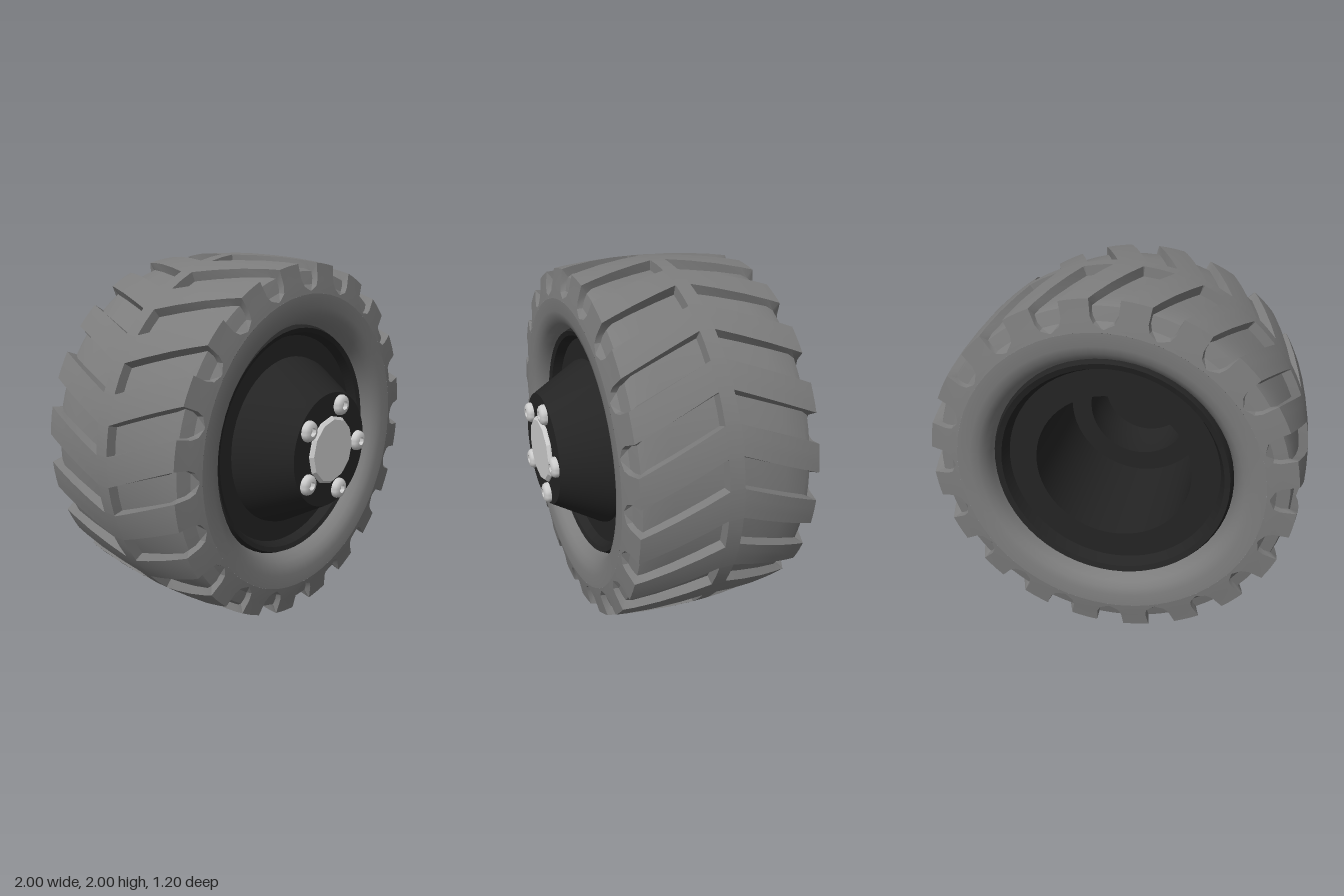
import * as THREE from 'three';
import { toCreasedNormals } from 'three/addons/utils/BufferGeometryUtils.js';

const MID = -0.09; // z of the tyre's middle plane
const rubber = new THREE.MeshStandardMaterial({ color: 0x7c7c7c });
const black = new THREE.MeshStandardMaterial({ color: 0x242424 });
const metal = new THREE.MeshStandardMaterial({ color: 0xcccccc });

// Revolve [radius, z] points about the z axis
function revolve(points, segments, crease = 0.5) {
  const geo = new THREE.LatheGeometry(points.map(([r, z]) => new THREE.Vector2(r, z)), segments);
  geo.rotateX(Math.PI / 2);
  return toCreasedNormals(geo, crease);
}

function part(name, geo, material, parent) {
  const mesh = new THREE.Mesh(geo, material);
  mesh.name = name;
  parent.add(mesh);
  return mesh;
}

// Tread with a chevron of slanted grooves on each side of a centre rib
function treadGeometry() {
  const teeth = 20, pitch = 360 / teeth;
  // distance from middle, radius, groove floor distance, floor radius, groove half width (degrees)
  const half = [
    [0.04, 1.0, 0.04, 1.0, 4.6],
    [0.044, 1.0, 0.044, 0.95, 4.6],
    [0.16, 0.996, 0.16, 0.948, 4.6],
    [0.3, 0.987, 0.3, 0.943, 4.6],
    [0.42, 0.974, 0.42, 0.934, 4.6],
    [0.48, 0.965, 0.452, 0.922, 4.6],
    [0.495, 0.885, 0.465, 0.885, 4.4],
    [0.503, 0.85, 0.475, 0.855, 3.4],
    [0.507, 0.826, 0.507, 0.826, 0.5],
    [0.51, 0.81, 0.51, 0.81, 0.5],
  ];
  const rows = [
    ...half.map((r) => [-1, ...r]).reverse(),
    ...half.map((r) => [1, ...r]),
  ];
  const pos = [], idx = [];
  let columns = 0;
  for (const [side, w, r, wf, rf, h] of rows) {
    const slant = 10 * Math.max(0, 1 - (w - 0.04) / 0.44);
    columns = 0;
    for (let t = 0; t < teeth; t++) {
      const gap = pitch - 2 * h;
      const e = Math.min(0.35, h / 2);
      const cols = [
        [-h, 0], [-h + e, 1], [0, 1], [h - e, 1], [h, 0],
        [h + gap / 3, 0], [h + (2 * gap) / 3, 0],
      ];
      for (const [deg, floor] of cols) {
        const a = THREE.MathUtils.degToRad(t * pitch + slant + deg);
        const rad = floor ? rf : r;
        pos.push(Math.cos(a) * rad, Math.sin(a) * rad, MID + side * (floor ? wf : w));
        columns++;
      }
    }
  }
  for (let j = 0; j < rows.length - 1; j++) {
    for (let i = 0; i < columns; i++) {
      const n = (i + 1) % columns;
      const a = j * columns + i, b = j * columns + n;
      const c = b + columns, d = a + columns;
      idx.push(a, b, c, a, c, d);
    }
  }
  const geo = new THREE.BufferGeometry();
  geo.setAttribute('position', new THREE.Float32BufferAttribute(pos, 3));
  geo.setIndex(idx);
  return toCreasedNormals(geo, 0.45);
}

export function createModel() {
  const model = new THREE.Group();
  model.name = 'wheel';
  const wheel = new THREE.Group();
  wheel.name = 'wheelAssembly';
  wheel.position.y = 1;
  model.add(wheel);

  // Tyre: tread, then a rounded sidewall on each face
  const tyre = new THREE.Group();
  tyre.name = 'tyre';
  wheel.add(tyre);
  part('tread', treadGeometry(), rubber, tyre);
  const wall = [[0.81, 0.51], [0.74, 0.508], [0.7, 0.497], [0.67, 0.472], [0.65, 0.435], [0.635, 0.38]];
  part('frontSidewall', revolve(wall.map(([r, w]) => [r, MID + w]), 60), rubber, tyre);
  part('backSidewall', revolve(wall.map(([r, w]) => [r, MID - w]).reverse(), 60), rubber, tyre);

  // Rim: hollow drum open at the back, closed by a tapered hub at the front
  part('rim', revolve([
    [0, 0.5], [0.27, 0.5], [0.3, 0.38], [0.3, 0.24], [0.42, 0.24], [0.42, -0.46],
    [0.57, -0.46], [0.595, -0.52], [0.625, -0.53], [0.64, -0.5],
    [0.64, 0.31], [0.625, 0.34], [0.6, 0.33], [0.58, 0.28],
    [0.465, 0.28], [0.46, 0.305], [0.31, 0.565], [0, 0.565],
  ], 60), black, wheel);

  // Valve block on the inner wall of the drum
  const valve = new THREE.Group();
  valve.name = 'valve';
  valve.rotation.z = THREE.MathUtils.degToRad(130);
  wheel.add(valve);
  for (const s of [-1, 1]) {
    part('valveLug', new THREE.BoxGeometry(0.05, 0.03, 0.1), black, valve).position.set(0.41, s * 0.03, -0.36);
  }

  // Centre cap
  part('centreCap', revolve([[0.185, 0.555], [0.185, 0.572], [0.17, 0.587], [0, 0.587]], 12, 0.3), metal, wheel);

  // Five domed bolts with a socket in each head
  const boltGeo = revolve([
    [0.056, 0.555], [0.056, 0.577], [0.05, 0.59], [0.038, 0.598], [0.023, 0.6],
    [0.02, 0.578], [0, 0.578],
  ], 18, 0.7);
  for (let i = 0; i < 5; i++) {
    const a = (i * 2 * Math.PI) / 5;
    part('bolt', boltGeo, metal, wheel).position.set(Math.cos(a) * 0.245, Math.sin(a) * 0.245, 0);
  }
  return model;
}
